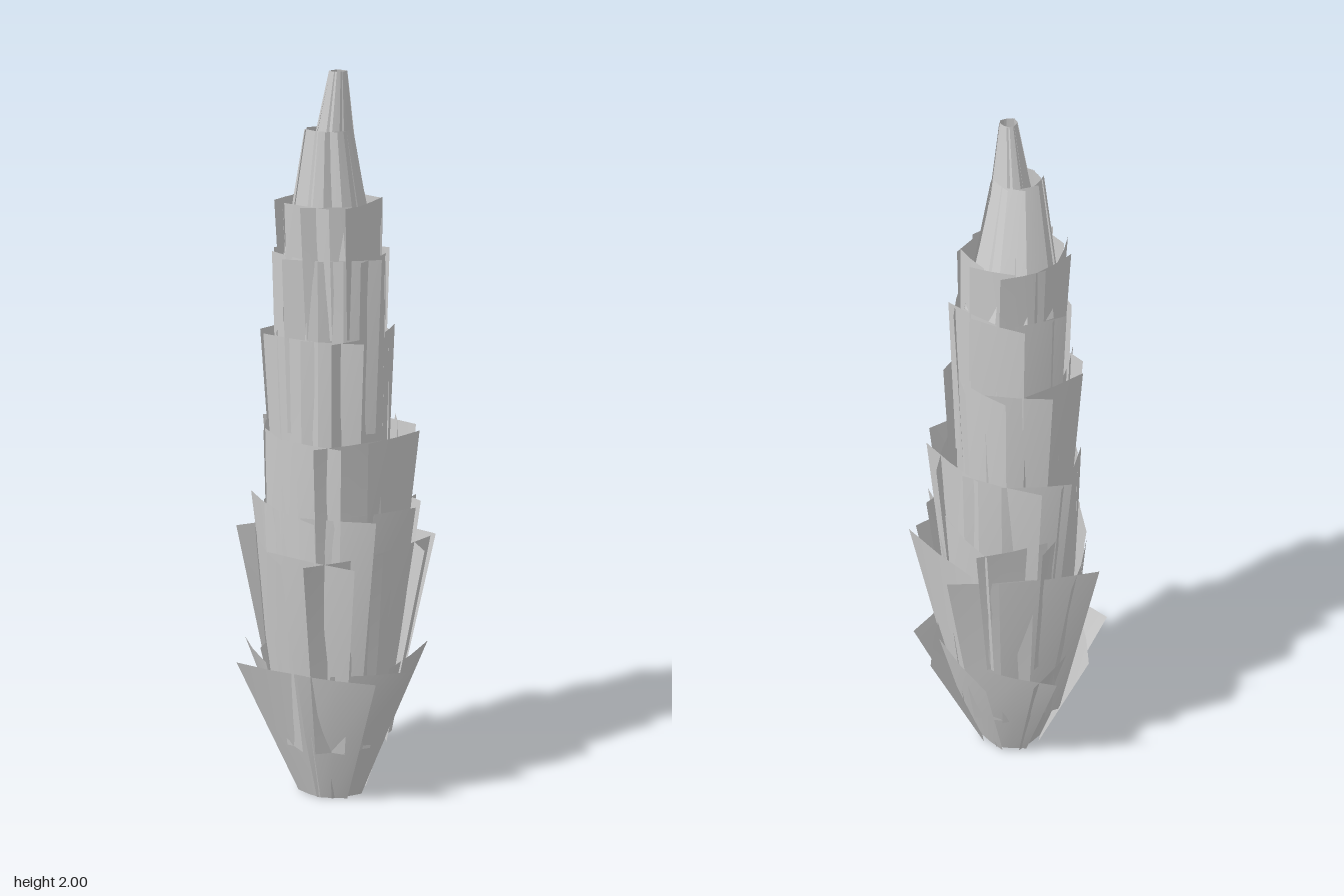
import * as THREE from 'three';

const material = new THREE.MeshStandardMaterial({ color: 0xcccccc, side: THREE.DoubleSide });

// small seeded generator so the scales vary but stay repeatable
let seed = 11;
const rand = () => {
  seed = (seed * 16807) % 2147483647;
  return seed / 2147483647;
};

// One scale: a thin, nearly flat plate whose one edge tucks in and whose other edge sticks out.
function scaleGeometry(tier, angle, halfAngle, hand, outer) {
  const COLS = 2, ROWS = 2;
  const { lerp } = THREE.MathUtils;
  const positions = [], index = [];
  for (let j = 0; j <= ROWS; j++) {
    const t = j / ROWS;
    const r = lerp(tier.r0, tier.r1 * outer, t);
    const tuck = lerp(0.93, tier.tuck, t);
    const ends = [-1, 1].map((s) => {
      const a = angle + s * halfAngle;
      const rr = s === hand ? r : r * tuck;
      return new THREE.Vector2(Math.sin(a) * rr, Math.cos(a) * rr);
    });
    for (let i = 0; i <= COLS; i++) {
      const u = i / COLS;
      const p = ends[0].clone().lerp(ends[1], u);
      const bulge = 1 + 0.12 * u * (1 - u);
      positions.push(
        p.x * bulge + lerp(tier.base[0], tier.top[0], t),
        lerp(tier.y0, tier.y1, t),
        p.y * bulge + lerp(tier.base[1], tier.top[1], t)
      );
    }
  }
  const w = COLS + 1;
  for (let j = 0; j < ROWS; j++) {
    for (let i = 0; i < COLS; i++) {
      const a = j * w + i;
      index.push(a, a + 1, a + w + 1, a, a + w + 1, a + w);
    }
  }
  const geometry = new THREE.BufferGeometry();
  geometry.setAttribute('position', new THREE.Float32BufferAttribute(positions, 3));
  geometry.setIndex(index);
  geometry.computeVertexNormals();
  return geometry;
}

// bottom height, bottom radius, top height, top radius, tuck of the inner edge, bottom and top centre (x, z)
const AXIS = [0, 0];
const TIERS = [
  [0.00, 0.10, 0.40, 0.290, 0.74, AXIS, AXIS],
  [0.16, 0.165, 0.73, 0.290, 0.74, AXIS, AXIS],
  [0.38, 0.18, 0.84, 0.250, 0.78, AXIS, AXIS],
  [0.60, 0.19, 1.04, 0.242, 0.80, AXIS, AXIS],
  [0.80, 0.16, 1.31, 0.195, 0.82, AXIS, AXIS],
  [1.05, 0.15, 1.52, 0.173, 0.84, AXIS, AXIS],
  [1.31, 0.135, 1.66, 0.150, 0.86, AXIS, [-0.01, 0]],
  [1.50, 0.13, 1.85, 0.070, 0.86, AXIS, [-0.025, 0.028]],
  [1.68, 0.078, 2.00, 0.025, 0.86, [-0.015, 0.015], [-0.012, 0.045]],
];

export function createModel() {
  const model = new THREE.Group();
  model.name = 'scalySpire';

  TIERS.forEach(([y0, r0, y1, r1, tuck, base, top], n) => {
    const tier = { y0, r0, y1, r1, tuck, base, top };
    const group = new THREE.Group();
    group.name = `scaleTier${n + 1}`;
    const count = 9;
    for (let k = 0; k < count; k++) {
      const angle = ((k + (rand() - 0.5) * 0.35) / count) * Math.PI * 2 + n * 0.37;
      const hand = rand() < 0.55 ? 1 : -1;
      const half = 0.44 + rand() * 0.14;
      const mesh = new THREE.Mesh(scaleGeometry(tier, angle, half, hand, 0.92 + rand() * 0.08), material);
      mesh.name = `scale${k + 1}`;
      group.add(mesh);
    }
    model.add(group);
  });

  // small lid inside the tip
  const tipLid = new THREE.Mesh(new THREE.CircleGeometry(0.024, 6), material);
  tipLid.name = 'tipLid';
  tipLid.rotation.x = -Math.PI / 2;
  tipLid.position.set(-0.012, 1.97, 0.042);
  model.add(tipLid);
  return model;
}
